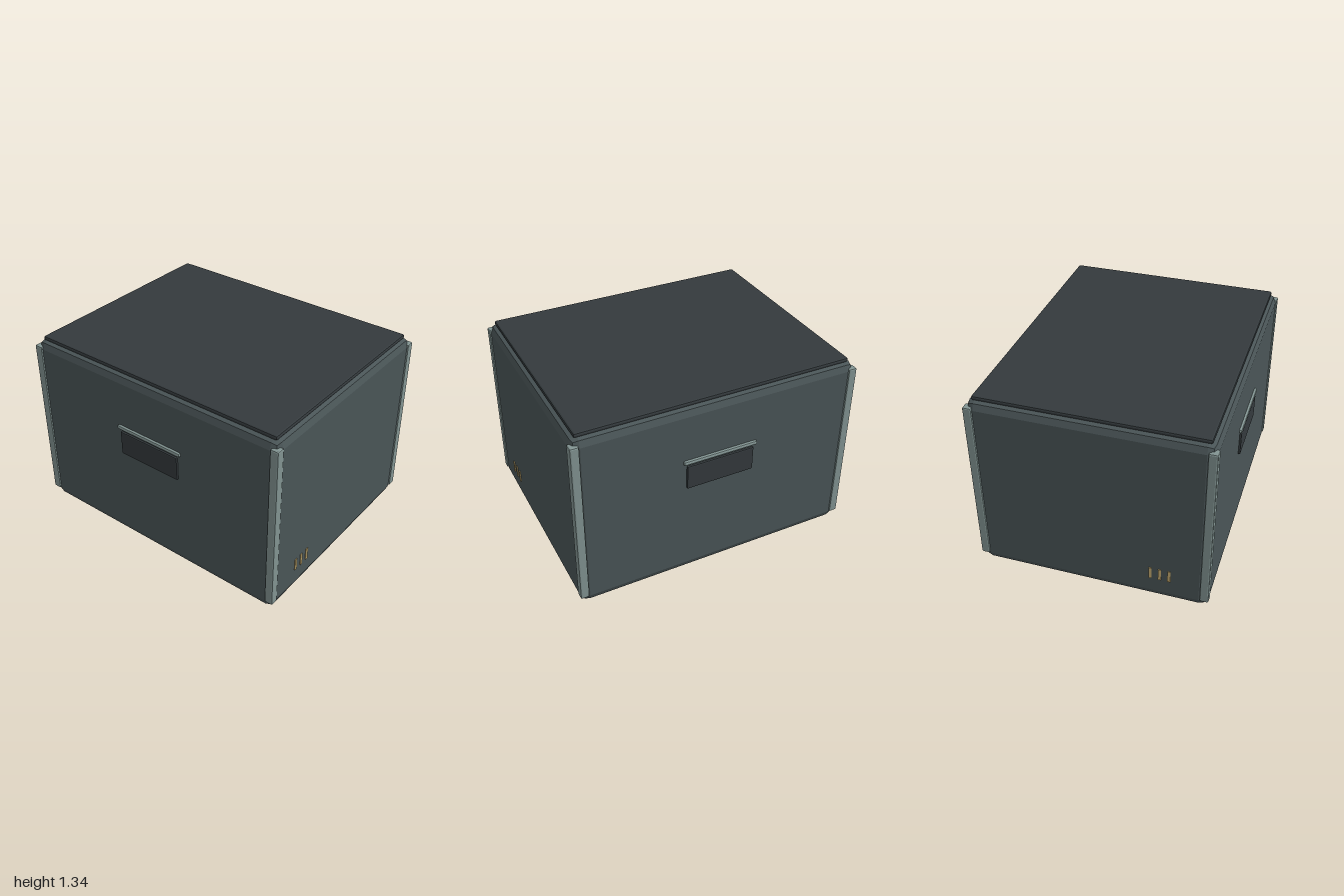
import * as THREE from 'three';
import { RoundedBoxGeometry } from 'three/addons/geometries/RoundedBoxGeometry.js';

const paint = (color) => new THREE.MeshStandardMaterial({ color, flatShading: true });

export function createModel() {
  const group = new THREE.Group();
  const shell = paint(0x4a5557);
  const dark = paint(0x343a3d);
  const trim = paint(0x829492);
  const brass = paint(0xc8ae72);

  // Box with bevelled edges, given by its size and centre
  function block(name, material, [w, h, d], [x, y, z], bevel) {
    const geometry = bevel
      ? new RoundedBoxGeometry(w, h, d, 1, bevel)
      : new THREE.BoxGeometry(w, h, d);
    const mesh = new THREE.Mesh(geometry, material);
    mesh.name = name;
    mesh.position.set(x, y, z);
    group.add(mesh);
  }

  // Main case and the thin panel on top
  block('case', shell, [1.584, 1.314, 1.984], [0, 0.657, 0], 0.06);
  block('lid', dark, [1.51, 0.03, 1.91], [0, 1.32, 0], 0.012);

  for (const sx of [-1, 1]) {
    // Corner posts
    for (const sz of [-1, 1]) {
      block('cornerPost', trim, [0.06, 1.21, 0.06], [sx * 0.77, 0.665, sz * 0.97], 0.01);
    }
    // Side handle: dark grip panel under a rounded bar
    block('gripPanel', dark, [0.03, 0.175, 0.48], [sx * 0.791, 0.7975, 0], 0.008);
    block('gripBar', trim, [0.04, 0.03, 0.53], [sx * 0.79, 0.915, 0], 0.012);
  }

  // Three small markers on the front and on the back
  for (const sz of [-1, 1]) {
    for (let i = 0; i < 3; i++) {
      block('marker', brass, [0.02, 0.09, 0.016], [-0.532 + i * 0.063, 0.215, sz * 0.99]);
    }
  }
  return group;
}
